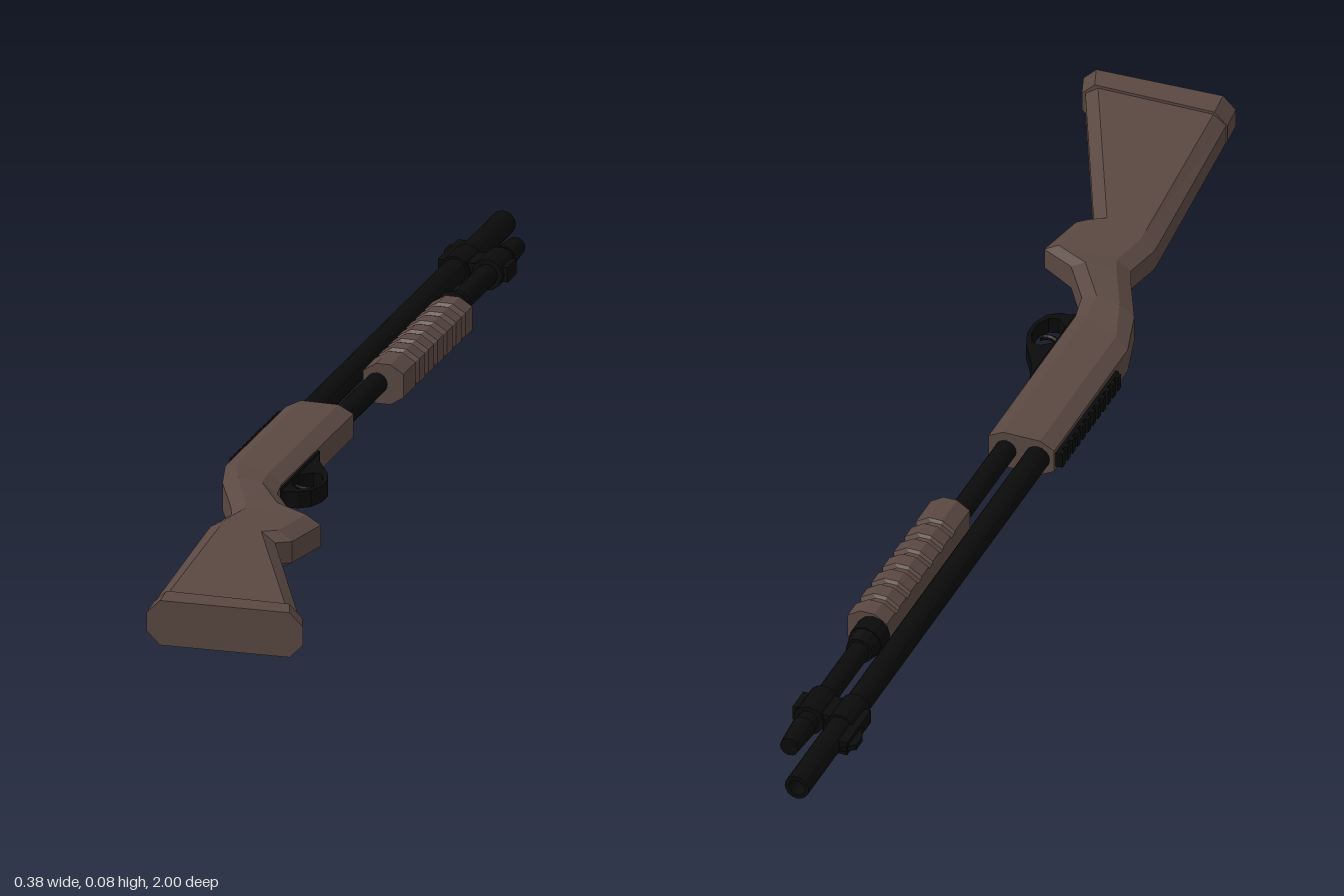
import * as THREE from 'three';

const MID = 0.041; // height of the centre plane; the piece lies on its side

export function createModel() {
  const brown = new THREE.MeshStandardMaterial({ color: 0x5a4842, flatShading: true });
  brown.name = 'brown polymer';
  const black = new THREE.MeshStandardMaterial({ color: 0x0b0b0b, flatShading: true });
  black.name = 'black steel';
  const group = new THREE.Group();

  function add(name, geometry, material, x = 0, y = 0, z = 0) {
    const mesh = new THREE.Mesh(geometry, material);
    mesh.name = name;
    mesh.position.set(x, y, z);
    group.add(mesh);
    return mesh;
  }

  // Cylinder along z, from z0 to z1
  function tube(name, x, z0, z1, r0, r1 = r0, sides = 16) {
    const g = new THREE.CylinderGeometry(r1, r0, z1 - z0, sides).rotateX(Math.PI / 2);
    return add(name, g, black, x, MID, (z0 + z1) / 2);
  }

  function box(name, x0, x1, z0, z1, thick, material) {
    return add(name, new THREE.BoxGeometry(x1 - x0, thick, z1 - z0), material,
      (x0 + x1) / 2, MID, (z0 + z1) / 2);
  }

  // Chamfered sections joined along z: [xTop, zTop, xBottom, zBottom, halfThickness, chamferX, chamferY]
  function loft(stations) {
    const pos = [];
    const rings = stations.map(([xa, za, xb, zb, h, cx, cy]) => {
      const c = cx / (xb - xa);
      const k = h - cy;
      return [[0, -k], [c, -h], [1 - c, -h], [1, -k], [1, k], [1 - c, h], [c, h], [0, k]]
        .map(([t, y]) => [xa + (xb - xa) * t, MID + y, za + (zb - za) * t]);
    });
    const tri = (a, b, c) => pos.push(...a, ...b, ...c);
    for (let i = 0; i < rings.length - 1; i++) {
      for (let j = 0; j < 8; j++) {
        const k = (j + 1) % 8;
        tri(rings[i][j], rings[i][k], rings[i + 1][k]);
        tri(rings[i][j], rings[i + 1][k], rings[i + 1][j]);
      }
    }
    const first = rings[0];
    const last = rings[rings.length - 1];
    for (let j = 1; j < 7; j++) {
      tri(first[0], first[j + 1], first[j]);
      tri(last[0], last[j], last[j + 1]);
    }
    const g = new THREE.BufferGeometry();
    g.setAttribute('position', new THREE.Float32BufferAttribute(pos, 3));
    g.computeVertexNormals();
    return g;
  }

  // Flat outline in x and z, thickened about the centre plane
  function plate(name, outline, thick, hole) {
    const toPoints = (list) => list.map(([x, z]) => new THREE.Vector2(x, z));
    const shape = new THREE.Shape(toPoints(outline));
    if (hole) shape.holes.push(new THREE.Path(toPoints(hole)));
    const g = new THREE.ExtrudeGeometry(shape, { depth: thick, bevelEnabled: false });
    g.translate(0, 0, -thick / 2).rotateX(Math.PI / 2);
    return add(name, g, black, 0, MID, 0);
  }

  // Receiver, wrist, grip and shoulder stock
  add('receiver', loft([
    [-0.174, 0, -0.06, 0, 0.033, 0.025, 0.013],
    [-0.174, 0.305, -0.06, 0.36, 0.034, 0.025, 0.013],
    [-0.15, 0.39, -0.05, 0.41, 0.038, 0.028, 0.015],
  ]), brown);
  add('stock', loft([
    [-0.15, 0.39, -0.05, 0.41, 0.038, 0.028, 0.015],
    [-0.104, 0.485, 0, 0.485, 0.036, 0.025, 0.015],
    [-0.092, 0.515, 0.06, 0.517, 0.033, 0.025, 0.015],
    [-0.105, 0.58, 0.042, 0.607, 0.033, 0.025, 0.015],
    [-0.104, 0.6, 0.018, 0.622, 0.033, 0.025, 0.015],
    [-0.075, 0.95, 0.168, 0.945, 0.033, 0.022, 0.016],
  ]), brown);
  add('buttPad', loft([
    [-0.077, 0.95, 0.174, 0.945, 0.038, 0.022, 0.022],
    [-0.072, 0.998, 0.188, 0.985, 0.038, 0.022, 0.022],
  ]), brown);

  // Barrel with a recessed muzzle
  const bore = [[0, 0.03], [0.014, 0.03], [0.014, 0], [0.021, 0], [0.021, 1.01], [0, 1.01]]
    .map(([r, y]) => new THREE.Vector2(r, y));
  add('barrel', new THREE.LatheGeometry(bore, 16).rotateX(Math.PI / 2), black, -0.145, MID, -1);

  // Magazine tube, end cap and clamp
  tube('magazineTube', -0.09, -0.86, 0.01, 0.018);
  tube('magazineCap', -0.09, -0.9, -0.84, 0.016, 0.02);
  tube('barrelClamp', -0.145, -0.82, -0.755, 0.025);
  tube('magazineClamp', -0.09, -0.82, -0.755, 0.026);
  box('clampBridge', -0.145, -0.09, -0.815, -0.76, 0.03, black);
  box('clampLug', -0.075, -0.058, -0.81, -0.765, 0.025, black);

  // Front sight on its ramp
  box('sightBase', -0.178, -0.155, -0.87, -0.77, 0.024, black);
  plate('sightBlade', [[-0.17, -0.875], [-0.19, -0.86], [-0.19, -0.835], [-0.17, -0.79]], 0.009);

  // Ribbed pump handle, hollow side toward the barrel
  const pump = [[-0.55, 0], [-0.515, 0]];
  for (let i = 0; i < 6; i++) {
    const z = -0.515 + i * 0.046;
    pump.push([z + 0.004, 1], [z + 0.014, 1], [z + 0.018, 0], [z + 0.046, 0]);
  }
  pump.push([-0.205, 0]);
  add('pumpHandle', loft(pump.map(([z, groove]) =>
    [-0.113, z, -0.045 - groove * 0.006, z, 0.034 - groove * 0.005, 0.022, 0.014])), brown);
  tube('pumpCollar', -0.09, -0.585, -0.55, 0.029, 0.029, 12);
  tube('pumpCollarTip', -0.09, -0.61, -0.585, 0.023, 0.027, 12);

  // Serrated rail along the top of the receiver
  box('railBase', -0.18, -0.17, 0.005, 0.255, 0.026, black);
  for (let i = 0; i < 12; i++) {
    const z = 0.006 + i * 0.021;
    box('railTooth', -0.186, -0.179, z, z + 0.012, 0.026, black);
  }

  // Trigger plate, guard and trigger
  box('triggerPlate', -0.07, -0.056, 0.18, 0.385, 0.036, black);
  plate('triggerGuard', [
    [-0.066, 0.172], [-0.058, 0.172], [-0.045, 0.215], [-0.014, 0.265], [-0.003, 0.295],
    [-0.002, 0.325], [-0.012, 0.355], [-0.03, 0.368], [-0.048, 0.37], [-0.066, 0.385],
  ], 0.028, [
    [-0.055, 0.29], [-0.035, 0.273], [-0.02, 0.275], [-0.01, 0.3],
    [-0.009, 0.325], [-0.019, 0.347], [-0.035, 0.352], [-0.052, 0.335],
  ]);
  const curve = new THREE.QuadraticBezierCurve3(
    new THREE.Vector3(-0.06, 0, 0.3), new THREE.Vector3(-0.035, 0, 0.328), new THREE.Vector3(-0.018, 0, 0.308));
  add('trigger', new THREE.TubeGeometry(curve, 6, 0.005, 6), black, 0, MID, 0);

  return group;
}
